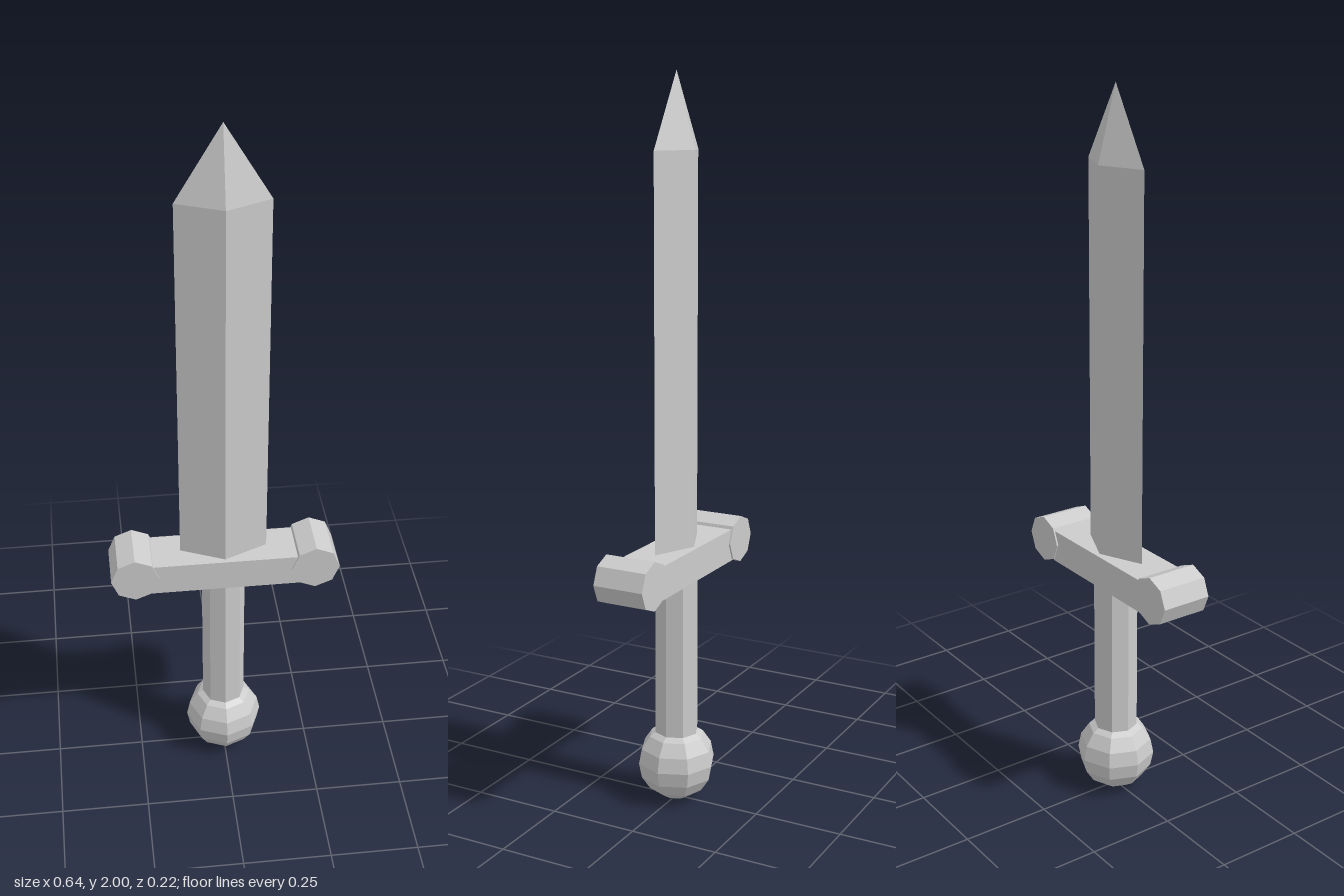
import * as THREE from 'three';

export function createModel() {
  const sword = new THREE.Group();
  sword.name = 'sword';
  const metal = new THREE.MeshStandardMaterial({ color: 0xcccccc, flatShading: true });

  const add = (name, geometry, x, y) => {
    const mesh = new THREE.Mesh(geometry, metal);
    mesh.name = name;
    mesh.position.set(x, y, 0);
    sword.add(mesh);
  };

  // Faceted ball pommel and octagonal grip
  add('pommel', new THREE.SphereGeometry(0.11, 8, 8), 0, 0.11);
  add('grip', new THREE.CylinderGeometry(0.061, 0.061, 0.5, 8), 0, 0.41);

  // Crossguard: flat bar with an octagonal roll at each end
  add('guardBar', new THREE.BoxGeometry(0.42, 0.092, 0.135), 0, 0.696);
  for (const [name, side] of [['leftGuardEnd', 1], ['rightGuardEnd', -1]]) {
    const roll = new THREE.CylinderGeometry(0.067, 0.067, 0.144, 8).rotateX(Math.PI / 2);
    add(name, roll, side * 0.252, 0.703);
  }

  // Diamond-section blade and its pointed tip
  const halfWidth = 0.121, halfDepth = 0.054;
  const blade = new THREE.CylinderGeometry(1, 1, 1.08, 4).scale(halfWidth, 1, halfDepth);
  add('blade', blade, 0, 1.26);
  const tip = new THREE.ConeGeometry(1, 0.2, 4, 1, true).scale(halfWidth, 1, halfDepth);
  add('bladeTip', tip, 0, 1.9);

  return sword;
}
